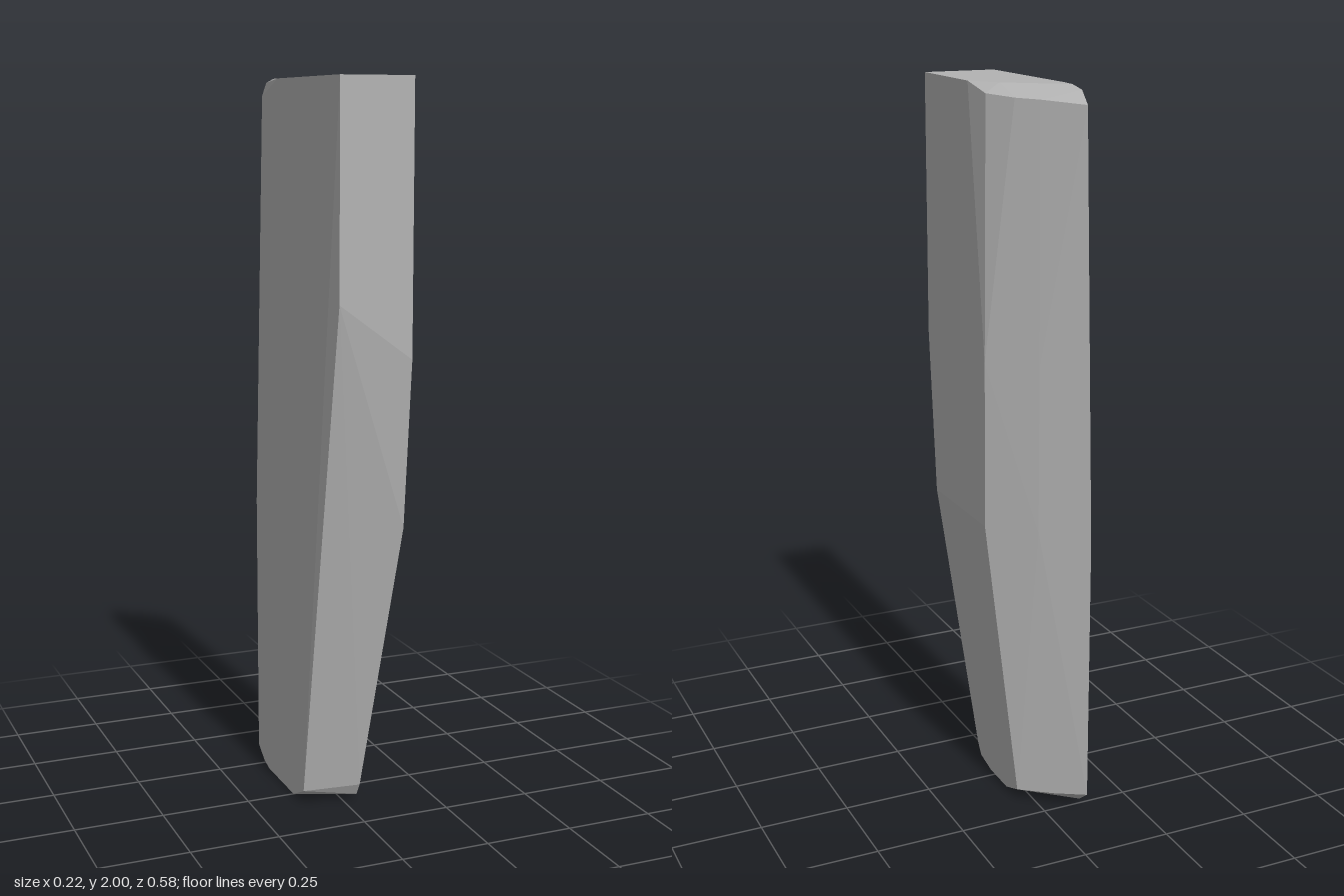
import * as THREE from 'three';
import { ConvexGeometry } from 'three/addons/geometries/ConvexGeometry.js';

export function createModel() {
  const group = new THREE.Group();
  group.name = 'carvedStone';
  const stone = new THREE.MeshStandardMaterial({ color: 0xb2b2b2 });
  stone.name = 'stoneGrey';

  // Corner points of the tapered slab, grouped by height
  const corners = [
    // flat top
    [-0.092, 2, 0.29], [0.112, 2, 0.29], [0.112, 2, 0.0], [-0.092, 2, -0.15],
    [-0.086, 2, -0.2], [0.0, 2, -0.13], [0.06, 2, -0.08],
    // worn back rim of the top
    [-0.09, 1.99, -0.245], [-0.092, 1.955, -0.274], [0.0, 1.965, -0.197],
    [0.05, 1.968, -0.152], [0.1, 1.975, -0.085],
    // bend of the front face
    [-0.093, 1.43, 0.29], [0.112, 1.28, 0.29],
    // slanted back and waist of the right side
    [0.112, 1.28, -0.1], [0.0, 1.28, -0.2],
    [0.112, 0.82, 0.245], [0.112, 0.82, -0.097], [0.0, 0.82, -0.2],
    [-0.113, 0.8, -0.29],
    // lower rim
    [0.042, 0.05, 0.118], [-0.113, 0.04, 0.08], [0.041, 0.03, -0.156],
    [-0.04, 0.035, -0.227], [-0.113, 0.045, -0.29],
    // underside
    [0.04, 0.015, 0.1], [0.04, 0, 0.03], [0.04, 0, -0.08],
    [-0.113, 0, 0.0], [-0.113, 0, -0.2], [-0.112, 0.01, -0.245],
  ];

  const slab = new THREE.Mesh(
    new ConvexGeometry(corners.map((p) => new THREE.Vector3(...p))),
    stone
  );
  slab.name = 'slab';
  group.add(slab);
  return group;
}
